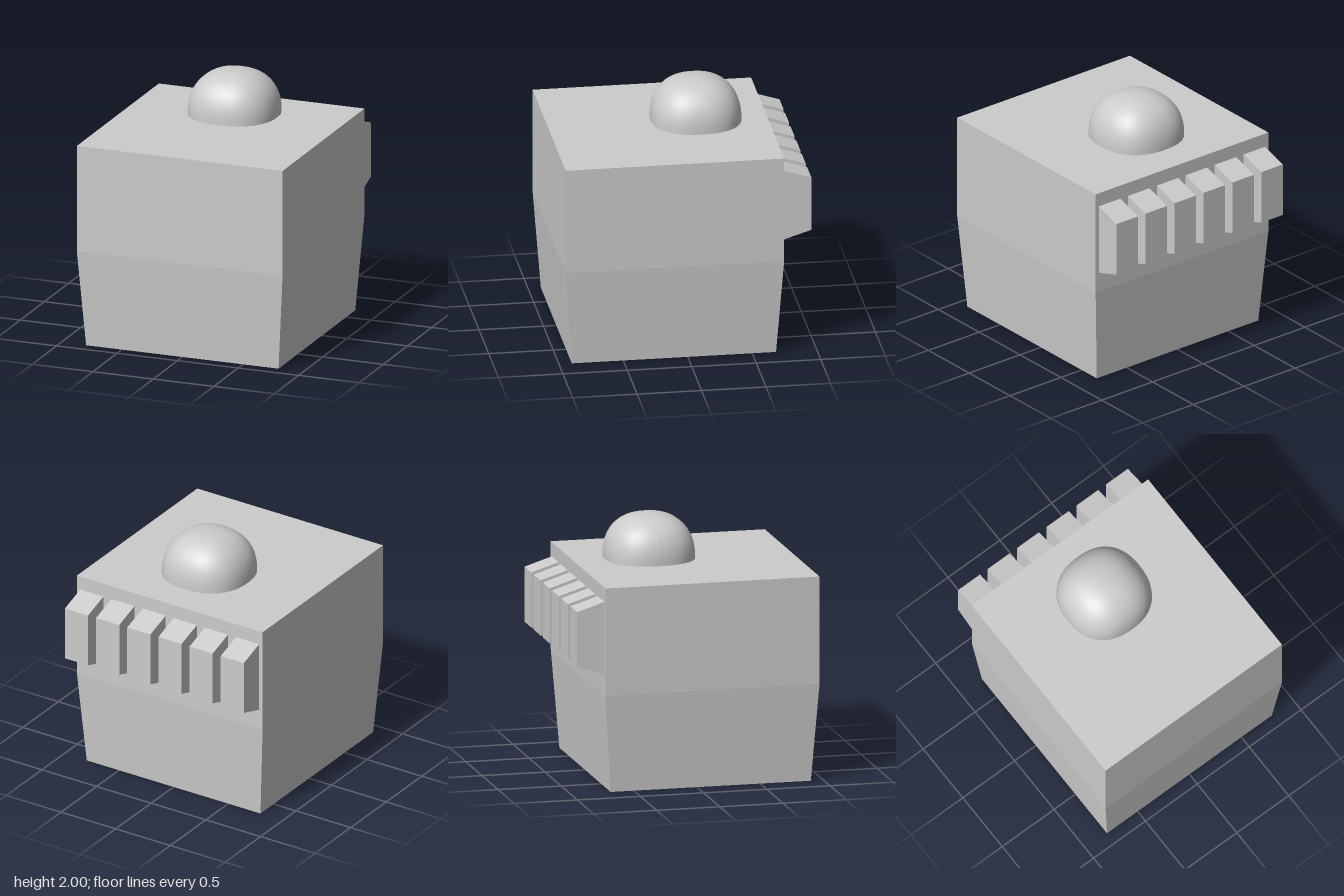
import * as THREE from 'three';

const flat = new THREE.MeshStandardMaterial({ color: 0xcccccc, flatShading: true });
const smooth = new THREE.MeshStandardMaterial({ color: 0xcccccc });

// Apply a rule to every vertex of a geometry
function reshape(geometry, rule) {
  const pos = geometry.attributes.position;
  const v = new THREE.Vector3();
  for (let i = 0; i < pos.count; i++) {
    v.fromBufferAttribute(pos, i);
    rule(v);
    pos.setXYZ(i, v.x, v.y, v.z);
  }
  geometry.computeVertexNormals();
  return geometry;
}

function addMesh(parent, name, geometry, material, x, y, z) {
  const mesh = new THREE.Mesh(geometry, material);
  mesh.name = name;
  mesh.position.set(x, y, z);
  parent.add(mesh);
  return mesh;
}

export function createModel() {
  const model = new THREE.Group();
  model.name = 'studdedBlock';

  // Block body: straight upper half, lower half narrowing to the base
  const body = reshape(new THREE.BoxGeometry(1.7, 1.615, 1.695, 1, 2, 1), (v) => {
    if (v.y < -0.1) {
      v.x -= Math.sign(v.x) * 0.055;
      v.z -= Math.sign(v.z) * 0.055;
    } else if (v.y < 0.1) v.y = -0.0375;
  });
  addMesh(model, 'body', body, flat, 0, 0.8075, 0.108);

  // Rounded, slightly squarish dome hovering just above the top
  const n = 2.35;
  const dome = reshape(
    new THREE.SphereGeometry(1, 48, 20, 0, Math.PI * 2, 0, Math.PI / 2),
    (v) => {
      const sum = Math.abs(v.x) ** n + Math.abs(v.y) ** n + Math.abs(v.z) ** n;
      v.multiplyScalar(0.35 / sum ** (1 / n));
    },
  );
  addMesh(model, 'dome', dome, smooth, 0, 1.65, -0.18);

  // Flat underside of the dome, following the same outline
  const underside = reshape(new THREE.CircleGeometry(1, 48).rotateX(Math.PI / 2), (v) => {
    const sum = Math.abs(v.x) ** n + Math.abs(v.z) ** n;
    if (sum > 0.01) v.multiplyScalar(0.35 / sum ** (1 / n));
  });
  addMesh(model, 'domeUnderside', underside, flat, 0, 1.65, -0.18);

  // Row of six teeth on the back, each shorter at its outer end
  const tooth = reshape(new THREE.BoxGeometry(0.212, 0.57, 0.216), (v) => {
    if (v.z < 0) v.y *= 0.76;
  });
  const teeth = new THREE.Group();
  teeth.name = 'backTeeth';
  for (let i = 0; i < 6; i++) {
    addMesh(teeth, 'tooth', tooth, flat, (i - 2.5) * 0.285, 1.218, -0.847);
  }
  model.add(teeth);

  return model;
}
